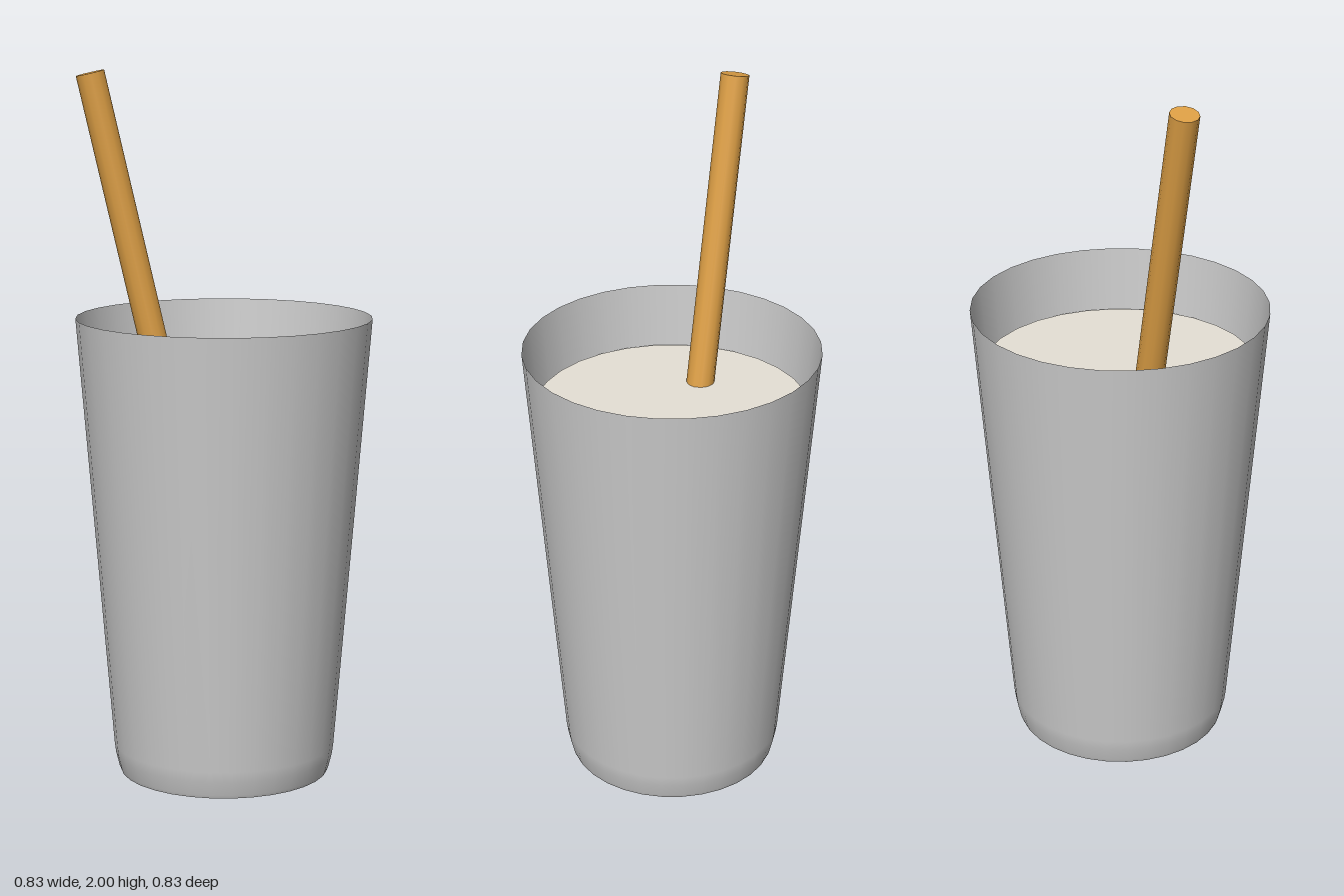
import * as THREE from 'three';

export function createModel() {
  const model = new THREE.Group();
  const add = (name, geometry, color, side = THREE.FrontSide) => {
    const mesh = new THREE.Mesh(geometry, new THREE.MeshStandardMaterial({ color, side }));
    mesh.name = name;
    model.add(mesh);
    return mesh;
  };

  // Thin tapered wall, tucked in slightly at the foot and open at the rim
  const wall = [[0.298, 0], [0.302, 0.01], [0.312, 0.05], [0.316, 0.08], [0.417, 1.31]]
    .map(([r, y]) => new THREE.Vector2(r, y));
  add('cupWall', new THREE.LatheGeometry(wall, 32), 0xcccccc, THREE.DoubleSide);

  // Flat floor of the cup
  const floor = add('cupFloor', new THREE.CircleGeometry(0.298, 32), 0xcccccc, THREE.DoubleSide);
  floor.rotation.x = Math.PI / 2;

  // Surface of the drink, a little below the rim
  const drink = add('drinkSurface', new THREE.CircleGeometry(0.387, 30), 0xe6e0d6, THREE.DoubleSide);
  drink.rotation.x = -Math.PI / 2;
  drink.position.y = 1.13;

  // Straw leaning to the side, reaching down into the drink
  const top = new THREE.Vector3(-0.37, 1.991, 0);
  const tilt = 0.225;
  const length = 1.9;
  const straw = add('straw', new THREE.CylinderGeometry(0.04, 0.04, length, 12), 0xdd9f45);
  straw.rotation.z = tilt;
  straw.position.set(top.x + Math.sin(tilt) * length / 2, top.y - Math.cos(tilt) * length / 2, 0);

  return model;
}
